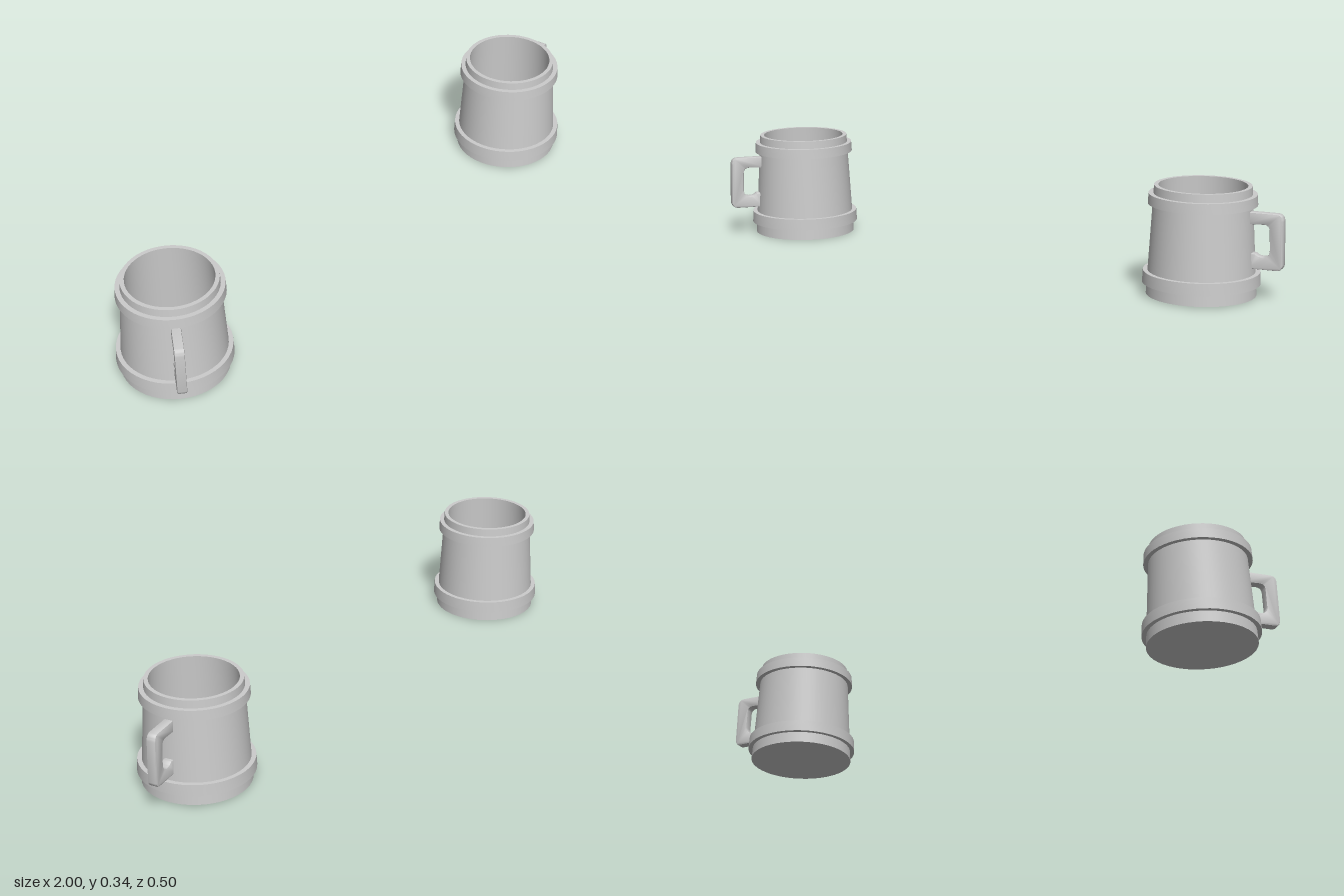
import * as THREE from 'three';
import { toCreasedNormals } from 'three/addons/utils/BufferGeometryUtils.js';

const material = new THREE.MeshStandardMaterial({ color: 0xcccccc });

function addMesh(group, name, geometry, crease = 0.5) {
  const mesh = new THREE.Mesh(toCreasedNormals(geometry, crease), material);
  mesh.name = name;
  group.add(mesh);
  return mesh;
}

// Solid of revolution from [radius, height] pairs
function turned(profile) {
  return new THREE.LatheGeometry(profile.map(([r, y]) => new THREE.Vector2(r, y)), 48);
}

// Closed ring with a slightly tapered outer face
function ring(inner, bottomRadius, topRadius, y0, y1) {
  return turned([[inner, y0], [bottomRadius, y0], [topRadius, y1], [inner, y1], [inner, y0]]);
}

// C-shaped handle in the xy plane, its ends sunk into the wall of the mug
function handleGeometry() {
  const s = new THREE.Shape();
  s.moveTo(0.148, 0.094);
  s.lineTo(0.235, 0.094);
  s.quadraticCurveTo(0.257, 0.094, 0.257, 0.118);
  s.lineTo(0.254, 0.245);
  s.quadraticCurveTo(0.253, 0.267, 0.232, 0.267);
  s.lineTo(0.142, 0.267);
  s.lineTo(0.142, 0.23);
  s.lineTo(0.196, 0.232);
  s.quadraticCurveTo(0.213, 0.231, 0.213, 0.214);
  s.lineTo(0.215, 0.155);
  s.quadraticCurveTo(0.215, 0.133, 0.194, 0.133);
  s.quadraticCurveTo(0.176, 0.133, 0.17, 0.142);
  s.lineTo(0.148, 0.142);
  s.closePath();
  const bevel = 0.004;
  const geometry = new THREE.ExtrudeGeometry(s, {
    depth: 0.03 - 2 * bevel, curveSegments: 6,
    bevelEnabled: true, bevelSize: bevel, bevelOffset: -bevel, bevelThickness: bevel, bevelSegments: 2,
  });
  return geometry.translate(0, 0, -0.015 + bevel);
}

function createMug(name) {
  const mug = new THREE.Group();
  mug.name = name;
  // Hollow tapered body with a flat rim
  addMesh(mug, 'body', turned([
    [0, 0], [0.168, 0], [0.148, 0.336], [0.135, 0.336], [0.15, 0.03], [0, 0.03],
  ]));
  // Hoops around the body
  addMesh(mug, 'lowerBand', ring(0.158, 0.18, 0.178, 0.036, 0.073));
  addMesh(mug, 'upperBand', ring(0.145, 0.166, 0.164, 0.279, 0.311));
  addMesh(mug, 'handle', handleGeometry(), 0.6);
  return mug;
}

export function createModel() {
  const model = new THREE.Group();
  model.name = 'mugs';
  // Each mug: name, position, heading of its handle
  const placements = [
    ['leftMug', [0.741, 0.003, 0.073], 5.7],
    ['rightMug', [-0.819, 0, -0.072], -132.5],
  ];
  for (const [name, position, heading] of placements) {
    const mug = createMug(name);
    mug.position.set(...position);
    mug.rotation.y = THREE.MathUtils.degToRad(heading);
    model.add(mug);
  }
  return model;
}
